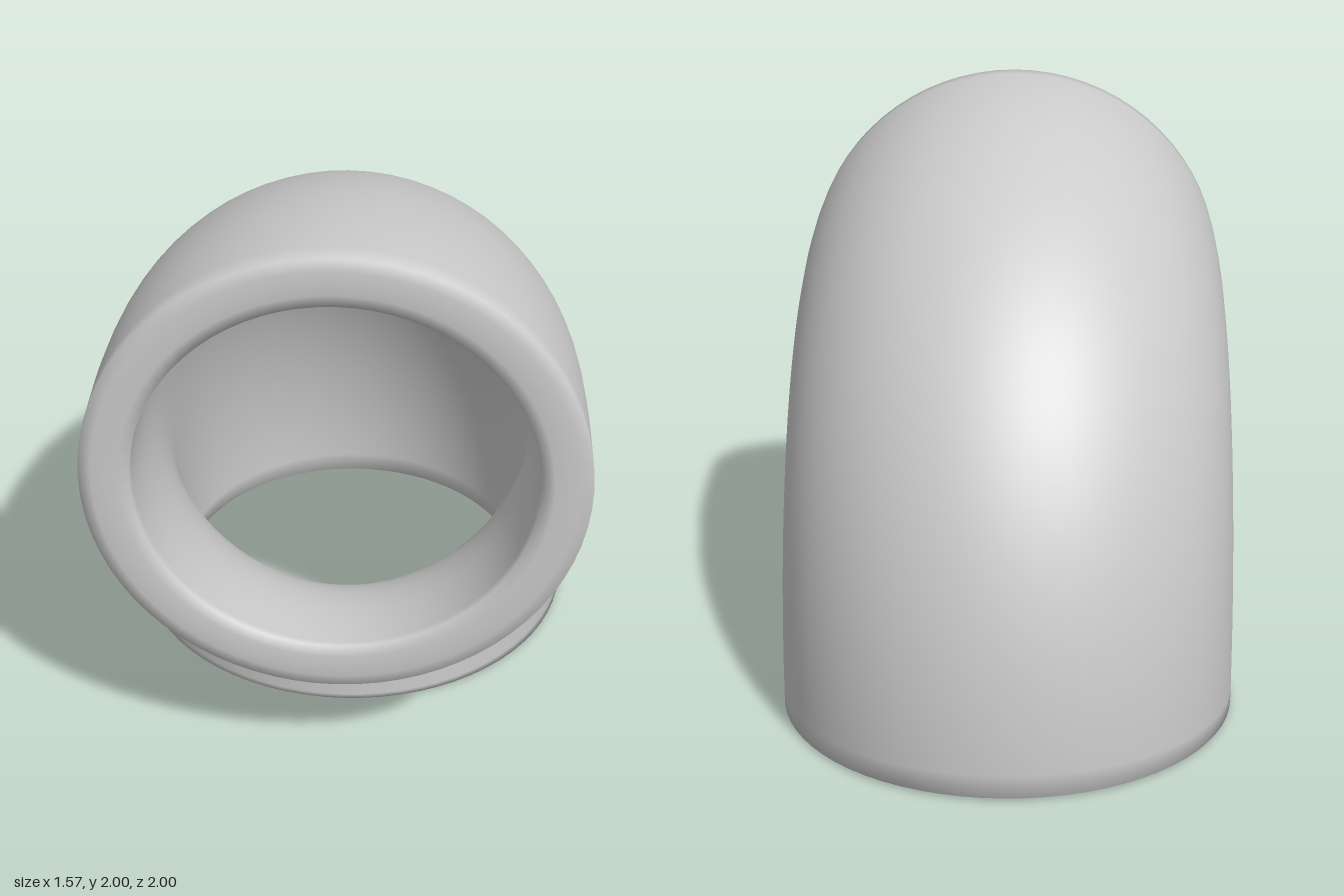
import * as THREE from 'three';

const BEND = 1.207;   // bend radius of the centre line
const OUTER = 0.784;  // outer pipe radius
const BORE = 0.627;   // inner pipe radius
const BULGE = 0.008;  // how far the rounded rims stand out
const STEPS = 40;     // rings along the bend
const RIM = 4;        // bands across each rim
const SIDES = 72;     // points around the pipe

// One ring of the elbow: t runs along the bend, out pushes it past the pipe end.
// The back is slightly fuller than a circle, the throat clearly squarer.
function elbowRing(radius, squareness, t, out = 0) {
  const c = Math.max(0, Math.cos(t)), s = Math.sin(t);
  const ring = [];
  for (let j = 0; j < SIDES; j++) {
    const a = (j / SIDES) * Math.PI * 2;
    const n = 2.17 + squareness * Math.max(0, -Math.cos(a)) ** 1.5;
    const r = (BEND + radius * Math.cos(a)) / (c ** n + s ** n) ** (1 / n);
    ring.push(radius * Math.sin(a), BULGE + r * s - out * c, 1 - BULGE - r * c + out * s);
  }
  return ring;
}

// Closed shell: outer skin, front rim, bore, bottom rim
function elbowGeometry() {
  const end = Math.PI / 2;
  const rings = [];
  const addRim = (from, to, t) => {
    for (let k = 1; k < RIM; k++) {
      const f = k / RIM;
      rings.push(elbowRing(from + (to - from) * f, 0, t, BULGE * Math.sin(Math.PI * f)));
    }
  };
  for (let i = 0; i <= STEPS; i++) rings.push(elbowRing(OUTER, 1.5, (i / STEPS) * end));
  addRim(OUTER, BORE, end);
  for (let i = STEPS; i >= 0; i--) rings.push(elbowRing(BORE, 0.95, (i / STEPS) * end));
  addRim(BORE, OUTER, 0);

  const index = [];
  for (let i = 0; i < rings.length; i++) {
    const row = i * SIDES, next = ((i + 1) % rings.length) * SIDES;
    for (let j = 0; j < SIDES; j++) {
      const k = (j + 1) % SIDES;
      index.push(row + j, next + j, row + k, next + j, next + k, row + k);
    }
  }
  const geometry = new THREE.BufferGeometry();
  geometry.setAttribute('position', new THREE.Float32BufferAttribute(rings.flat(), 3));
  geometry.setIndex(index);
  geometry.computeVertexNormals(); // shared corners give the rims a soft look
  return geometry;
}

export function createModel() {
  const group = new THREE.Group();
  group.name = 'pipeElbow';
  const elbow = new THREE.Mesh(elbowGeometry(), new THREE.MeshStandardMaterial({ color: 0xcccccc }));
  elbow.name = 'elbowShell';
  group.add(elbow);
  return group;
}
